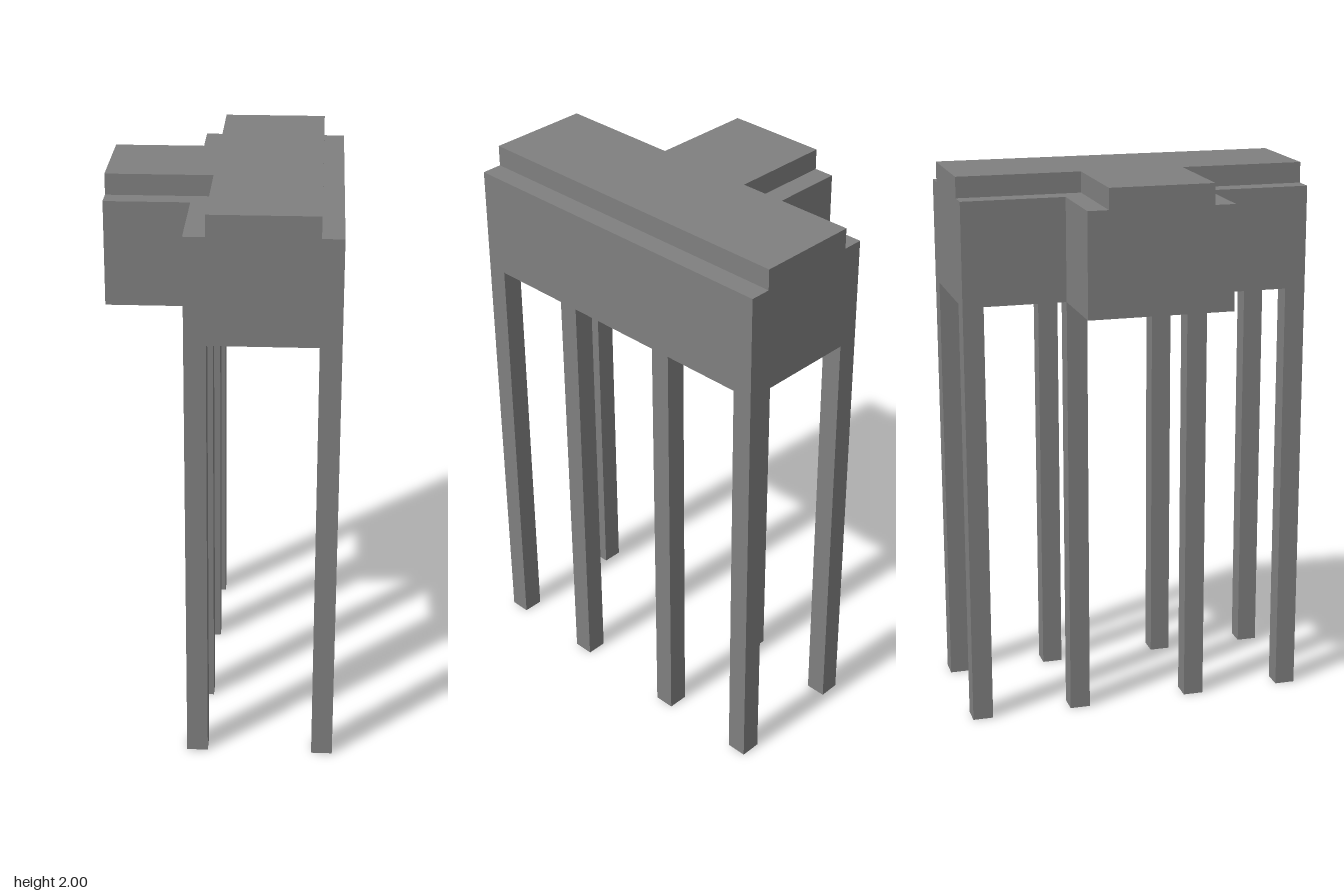
import * as THREE from 'three';

// The design sits on a square module: 11 wide, 27 high, 17 deep
const U = 2 / 27;

export function createModel() {
  const model = new THREE.Group();
  const grey = new THREE.MeshStandardMaterial({ color: 0x7f7f7f });
  grey.name = 'concrete grey';

  // T-shaped slab: main hall from x0 to x1, wing reaching out to the -x side
  function teeSlab(name, x0, x1, halfWing, y0, y1) {
    const wingEnd = -5.5, halfHall = 8.5;
    const outline = [
      [x1, -halfHall], [x1, halfHall], [x0, halfHall], [x0, halfWing],
      [wingEnd, halfWing], [wingEnd, -halfWing], [x0, -halfWing], [x0, -halfHall],
    ].map(([x, z]) => new THREE.Vector2(x * U, z * U));
    const geometry = new THREE.ExtrudeGeometry(new THREE.Shape(outline), {
      depth: (y1 - y0) * U, bevelEnabled: false,
    });
    geometry.rotateX(-Math.PI / 2);
    const mesh = new THREE.Mesh(geometry, grey);
    mesh.name = name;
    mesh.position.y = y0 * U;
    model.add(mesh);
  }

  teeSlab('body', -1.5, 5.5, 3.5, 21, 26);
  teeSlab('raisedRoof', -0.5, 4.5, 2.5, 26, 27);

  // Two rows of four square legs
  const legs = new THREE.Group();
  legs.name = 'legs';
  const legGeometry = new THREE.BoxGeometry(U, 21 * U, U);
  for (const x of [-1, 5]) {
    for (const z of [-8, -3, 3, 8]) {
      const leg = new THREE.Mesh(legGeometry, grey);
      leg.name = 'leg';
      leg.position.set(x * U, 10.5 * U, z * U);
      legs.add(leg);
    }
  }
  model.add(legs);

  return model;
}
